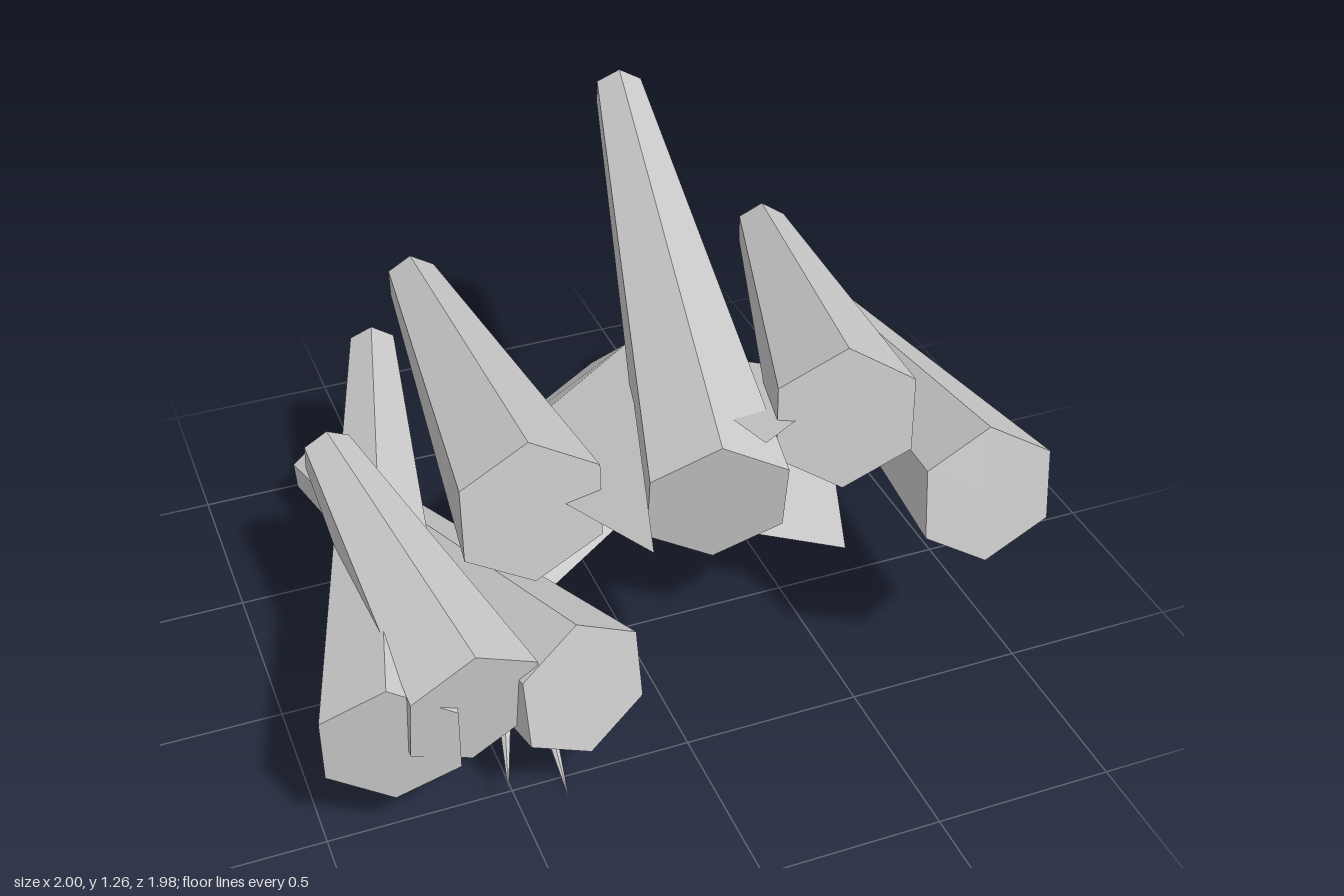
import * as THREE from 'three';

const material = new THREE.MeshStandardMaterial({ color: 0xcccccc, flatShading: true, side: THREE.DoubleSide });

// Six-sided bar between two points, one flat end at each
function hexBar(name, back, front, backRadius, frontRadius) {
  const a = new THREE.Vector3(...back), b = new THREE.Vector3(...front);
  const geometry = new THREE.CylinderGeometry(frontRadius, backRadius, a.distanceTo(b), 6);
  geometry.rotateX(Math.PI / 2);
  const mesh = new THREE.Mesh(geometry, material);
  mesh.name = name;
  mesh.position.copy(a).add(b).multiplyScalar(0.5);
  mesh.lookAt(b);
  return mesh;
}

// Folded shell: bands between V-shaped rows, then a pointed blade on each half
function foldedShell() {
  const rows = [
    [[-0.42, 0.275, 0.2], [0.09, 0.275, -0.16], [0.6, 0.275, 0.2]],
    [[-0.47, 0.6, -0.1], [0.09, 0.6, -0.48], [0.65, 0.6, -0.1]],
    [[-0.43, 0.84, 0.17], [0.09, 0.84, -0.2], [0.6, 0.84, 0.17]],
  ];
  const tips = [[-0.3, 1.12, 0.98], [0.09, 1.12, 0.7]];
  const points = [];
  for (let side = 0; side < 2; side++) {
    for (let r = 0; r < 2; r++) {
      const a = rows[r][side], b = rows[r][side + 1];
      const c = rows[r + 1][side + 1], d = rows[r + 1][side];
      points.push(...a, ...c, ...b, ...a, ...d, ...c);
    }
    points.push(...rows[2][side], ...tips[side], ...rows[2][side + 1]);
  }
  const geometry = new THREE.BufferGeometry();
  geometry.setAttribute('position', new THREE.Float32BufferAttribute(points, 3));
  geometry.computeVertexNormals();
  const mesh = new THREE.Mesh(geometry, material);
  mesh.name = 'foldedShell';
  return mesh;
}

export function createModel() {
  const group = new THREE.Group();
  group.name = 'crystalCluster';

  // Tapered crystals: narrow back end, wide front end
  const crystals = [
    [[-0.44, 0.475, -0.975], [-0.83, 0.365, 0.59]],
    [[-0.73, 0.58, -0.36], [-0.62, 0.435, 0.61]],
    [[-0.68, 0.155, -0.86], [-0.33, 0.395, 0.6]],
    [[-0.38, 0.88, -0.665], [-0.445, 0.975, 0.58]],
    [[0.365, 1.19, -0.98], [0.02, 0.885, 0.595]],
    [[0.64, 0.91, -0.535], [0.365, 1.03, 0.57]],
    [[0.935, 0.44, -0.935], [0.78, 0.705, 0.6]],
  ];
  for (const [back, front] of crystals) group.add(hexBar('crystal', back, front, 0.075, 0.195));

  // Thin spikes fanning out from one shared end
  const spikeRoot = [-0.26, 0.15, -0.36];
  for (const tip of [[-0.37, 0, 0.58], [-0.54, 0.105, 0.6], [-0.2, 0.29, 0.57]]) {
    group.add(hexBar('spike', spikeRoot, tip, 0.073, 0));
  }

  group.add(foldedShell());
  return group;
}
